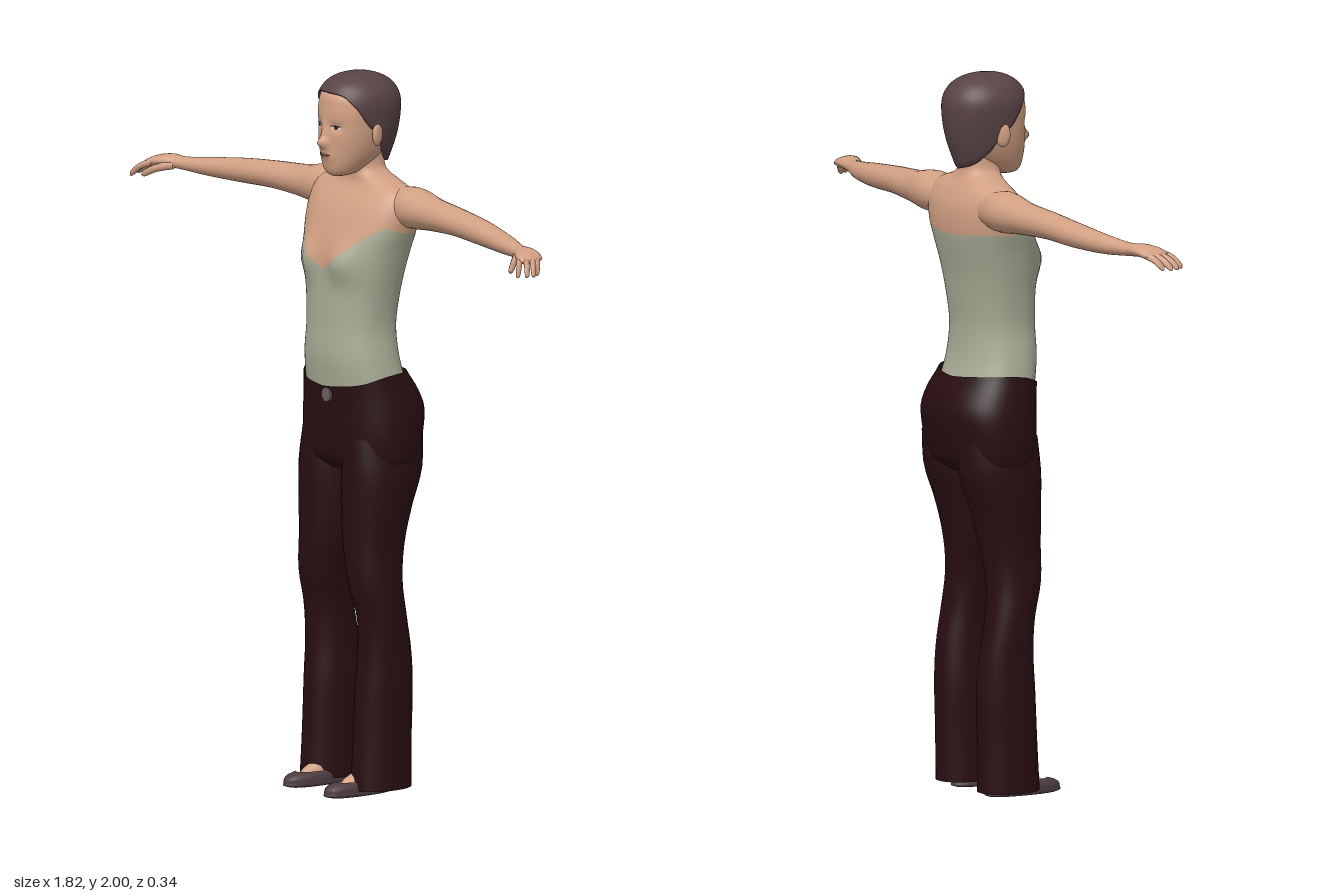
import * as THREE from 'three';

const mat = (name, color, side = THREE.FrontSide) => {
  const m = new THREE.MeshStandardMaterial({ color, side });
  m.name = name;
  return m;
};

// Smooth interpolation through rows of numbers keyed by their first entry
function sample(keys, y) {
  const n = keys.length;
  y = Math.min(Math.max(y, keys[0][0]), keys[n - 1][0]);
  let i = 0;
  while (i < n - 2 && y > keys[i + 1][0]) i++;
  const a = keys[i], b = keys[i + 1], h = b[0] - a[0], t = (y - a[0]) / h;
  const p = keys[Math.max(i - 1, 0)], q = keys[Math.min(i + 2, n - 1)];
  return a.map((_, k) => {
    const m0 = (b[k] - p[k]) / (b[0] - p[0]) * h, m1 = (q[k] - a[k]) / (q[0] - a[0]) * h;
    return a[k] * (1 + 2 * t) * (1 - t) ** 2 + b[k] * t * t * (3 - 2 * t)
      + m0 * t * (1 - t) ** 2 + m1 * t * t * (t - 1);
  });
}

// Closed-ring surface from f(angle, v), v running 0..1
function surface(f, seg, rows) {
  const pos = [], idx = [];
  for (let i = 0; i <= rows; i++) {
    for (let j = 0; j < seg; j++) {
      let a = (j / seg) * Math.PI * 2;
      if (a > Math.PI) a -= Math.PI * 2;
      pos.push(...f(a, i / rows));
    }
  }
  for (let i = 0; i < rows; i++) {
    for (let j = 0; j < seg; j++) {
      const k = (j + 1) % seg, a = i * seg + j, b = i * seg + k, c = b + seg, d = a + seg;
      idx.push(a, b, d, b, c, d);
    }
  }
  const g = new THREE.BufferGeometry();
  g.setAttribute('position', new THREE.Float32BufferAttribute(pos, 3));
  g.setIndex(idx);
  g.computeVertexNormals();
  return g;
}

// Upright form; keys: [y, half width, front z, back z, centre x]; angle 0 faces front
const power = (v, e) => Math.sign(v) * Math.abs(v) ** e;
const form = (keys, e = 1, bump = () => 0) => (a, y) => {
  const [, rx, zf, zb, cx = 0] = sample(keys, y);
  const x = cx + rx * power(Math.sin(a), e);
  const z = (zf + zb) / 2 + (zf - zb) / 2 * power(Math.cos(a), e);
  return [x, y, z + (Math.cos(a) > 0 ? Math.cos(a) * bump(x, y) : 0)];
};
const wall = (f, lo, hi, seg, rows, ease = (v) => v) => surface((a, v) => {
  const l = lo(Math.abs(a)), h = hi(Math.abs(a));
  return f(a, l + (h - l) * ease(v));
}, seg, rows);
const line = (keys) => (a) => sample(keys, a)[1];
const flat = (y) => () => y;

// Sideways form; keys: [x, y, z, half height, half depth]
const limb = (keys, seg, rows) => surface((a, v) => {
  const x0 = keys[0][0], x1 = keys[keys.length - 1][0];
  const [x, y, z, ry, rz] = sample(keys, x0 + (x1 - x0) * v);
  return [x, y + ry * Math.cos(a), z + rz * Math.sin(a)];
}, seg, rows);

function mirrored(geo) {
  const g = geo.clone().scale(-1, 1, 1), ix = g.index.array;
  for (let i = 0; i < ix.length; i += 3) [ix[i], ix[i + 1]] = [ix[i + 1], ix[i]];
  g.computeVertexNormals();
  return g;
}
const gauss = (x, y, cx, cy, sx, sy) => Math.exp(-(((x - cx) / sx) ** 2) - ((y - cy) / sy) ** 2);

export function createModel() {
  const root = new THREE.Group();
  root.name = 'standingFigure';
  const skin = mat('skin', 0xd2a083);
  const cloth = mat('top fabric', 0xabae97, THREE.DoubleSide);
  const trouser = mat('trouser fabric', 0x280d10, THREE.DoubleSide);
  const hair = mat('hair', 0x58434400 >>> 8);
  const shoe = mat('shoe leather', 0x4d3c3f);
  const metal = mat('buckle', 0x6b6062);
  const lip = mat('lips', 0xa96c5d);
  const white = mat('eye white', 0xd8cfc8);
  const dark = mat('eye dark', 0x35221f);

  const add = (name, geo, m) => {
    const mesh = new THREE.Mesh(geo, m);
    mesh.name = name;
    root.add(mesh);
  };
  const pair = (name, geo, m) => {
    add('left' + name, geo, m);
    add('right' + name, mirrored(geo), m);
  };

  // Torso: sleeveless top below the neckline, skin above it
  const bust = (x, y) => 0.026 * (gauss(x, y, 0.08, 1.485, 0.05, 0.05) + gauss(x, y, -0.08, 1.485, 0.05, 0.05));
  const torso = form([
    [1.10, 0.165, 0.098, -0.13], [1.15, 0.160, 0.106, -0.112], [1.22, 0.150, 0.114, -0.095],
    [1.30, 0.140, 0.112, -0.090], [1.38, 0.147, 0.110, -0.098], [1.46, 0.163, 0.107, -0.110],
    [1.53, 0.180, 0.100, -0.125], [1.58, 0.195, 0.085, -0.132], [1.64, 0.200, 0.058, -0.128],
    [1.68, 0.185, 0.030, -0.112], [1.70, 0.140, 0.020, -0.100], [1.72, 0.078, 0.020, -0.090],
    [1.74, 0.058, 0.025, -0.085], [1.82, 0.055, 0.030, -0.085],
  ], 0.85, bust);
  const neckline = line([[0, 1.46], [0.25, 1.49], [0.6, 1.545], [1.05, 1.59], [1.57, 1.575], [2.3, 1.575], [3.15, 1.56]]);
  add('sleevelessTop', wall(torso, flat(1.11), neckline, 64, 30), cloth);
  add('chestAndNeck', wall(torso, neckline, flat(1.82), 64, 30), skin);

  // Trousers: hips and two flared legs
  const hips = form([
    [0.90, 0.165, 0.060, -0.100], [0.93, 0.188, 0.092, -0.140], [1.00, 0.195, 0.101, -0.158],
    [1.07, 0.190, 0.104, -0.167], [1.12, 0.179, 0.107, -0.150], [1.17, 0.166, 0.113, -0.118],
    [1.20, 0.160, 0.116, -0.108],
  ], 0.85);
  const waist = line([[0, 1.135], [0.8, 1.152], [1.57, 1.175], [2.4, 1.175], [3.15, 1.165]]);
  add('trouserHips', wall(hips, flat(0.90), waist, 48, 18), trouser);
  const leg = form([
    [0.02, 0.066, 0.085, -0.092, 0.116], [0.15, 0.064, 0.078, -0.093, 0.116], [0.30, 0.066, 0.070, -0.095, 0.117],
    [0.40, 0.063, 0.063, -0.088, 0.120], [0.50, 0.064, 0.066, -0.070, 0.121], [0.60, 0.068, 0.090, -0.062, 0.112],
    [0.70, 0.078, 0.094, -0.075, 0.100], [0.80, 0.087, 0.095, -0.100, 0.098], [0.90, 0.092, 0.096, -0.135, 0.097],
    [1.00, 0.080, 0.088, -0.145, 0.096],
  ], 0.9);
  pair('TrouserLeg', wall(leg, flat(0.02), flat(1.0), 32, 32), trouser);
  const buckle = new THREE.CylinderGeometry(0.02, 0.02, 0.008, 16).rotateX(Math.PI / 2);
  add('buckle', buckle.translate(0.018, 1.113, 0.108), metal);

  // Feet in low shoes
  const foot = form([[0.02, 0.030, 0.125, -0.045, 0.093], [0.045, 0.029, 0.110, -0.048, 0.093],
    [0.07, 0.028, 0.065, -0.048, 0.095], [0.14, 0.030, 0.040, -0.045, 0.105]]);
  pair('Foot', wall(foot, flat(0.02), flat(0.14), 20, 8), skin);
  const shoeForm = form([[0, 0.001, 0.052, 0.05, 0.093], [0.003, 0.033, 0.150, -0.048, 0.093],
    [0.018, 0.039, 0.167, -0.056, 0.093], [0.034, 0.037, 0.158, -0.056, 0.093], [0.044, 0.031, 0.128, -0.053, 0.093]], 0.85);
  pair('Shoe', wall(shoeForm, flat(0), flat(0.044), 28, 12), shoe);

  // Arms, palms, fingers and thumbs
  const arm = [
    [0.12, 1.640, -0.055, 0.050, 0.055], [0.20, 1.643, -0.057, 0.057, 0.061], [0.30, 1.640, -0.053, 0.045, 0.050],
    [0.42, 1.638, -0.045, 0.038, 0.044], [0.55, 1.630, -0.035, 0.034, 0.038], [0.68, 1.622, -0.014, 0.026, 0.030],
    [0.77, 1.620, 0.010, 0.018, 0.024], [0.81, 1.623, 0.022, 0.018, 0.034], [0.845, 1.620, 0.034, 0.015, 0.040],
    [0.868, 1.613, 0.042, 0.008, 0.032], [0.872, 1.611, 0.043, 0.001, 0.002],
  ];
  pair('Arm', limb(arm, 24, 60), skin);
  const finger = (bx, by, bz, tx, ty, tz, r) => {
    const mid = (a, b, t) => a + (b - a) * t;
    return limb([
      [bx, by, bz, r, r], [mid(bx, tx, 0.6), mid(by, ty, 0.35), mid(bz, tz, 0.55), r, r],
      [mid(bx, tx, 0.94), mid(by, ty, 0.88), mid(bz, tz, 0.93), r * 0.8, r * 0.75], [tx, ty, tz, 0.0005, 0.0005],
    ], 10, 12);
  };
  for (let i = 0; i < 4; i++) {
    const reach = [0.896, 0.908, 0.905, 0.888][i];
    pair('Finger' + (i + 1), finger(0.84, 1.618, 0.006 + i * 0.019, reach, 1.578, 0.045 + i * 0.02, 0.0095), skin);
  }
  pair('Thumb', finger(0.78, 1.615, 0.03, 0.845, 1.585, 0.098, 0.011), skin);

  // Head with nose, brow hollows and chin shaped into the face
  const headKeys = [
    [1.715, 0.010, 0.070, 0.030], [1.722, 0.034, 0.084, 0.010], [1.74, 0.052, 0.094, -0.030],
    [1.77, 0.069, 0.099, -0.070], [1.81, 0.083, 0.102, -0.105], [1.86, 0.092, 0.102, -0.122],
    [1.91, 0.094, 0.100, -0.124], [1.95, 0.082, 0.088, -0.110], [1.98, 0.045, 0.040, -0.070], [1.99, 0.004, 0, -0.02],
  ];
  const features = (x, y) => 0.022 * gauss(x, y, 0, 1.812, 0.014, 0.016) + 0.010 * gauss(x, y, 0, 1.84, 0.011, 0.028)
    + 0.006 * gauss(x, y, 0, 1.779, 0.024, 0.014) - 0.008 * gauss(Math.abs(x), y, 0.037, 1.858, 0.018, 0.013);
  const head = form(headKeys, 0.92, features);
  add('head', wall(head, flat(1.715), flat(1.99), 80, 60), skin);
  const ear = new THREE.SphereGeometry(1, 14, 10).scale(0.010, 0.034, 0.021);
  pair('Ear', ear.rotateY(0.35).translate(0.094, 1.838, -0.008), skin);

  // Thin patches laid on the face
  const patch = (x, y, w, h, lift) => {
    const g = new THREE.CircleGeometry(1, 20).scale(w, h, 1).translate(x, y, 0), p = g.attributes.position;
    for (let i = 0; i < p.count; i++) {
      const rx = sample(headKeys, p.getY(i))[1];
      const a = Math.asin(power(p.getX(i) / rx, 1 / 0.92));
      p.setZ(i, head(a, p.getY(i))[2] + lift);
    }
    g.computeVertexNormals();
    return g;
  };
  pair('EyeWhite', patch(0.037, 1.857, 0.014, 0.005, 0.002), white);
  pair('Iris', patch(0.037, 1.857, 0.006, 0.005, 0.0035), dark);
  pair('Lashes', patch(0.037, 1.862, 0.016, 0.002, 0.003), dark);
  add('lips', patch(0, 1.779, 0.024, 0.007, 0.002), lip);
  add('mouthLine', patch(0, 1.779, 0.022, 0.0012, 0.003), dark);

  // Short hair, low at the nape and high over the brow
  const hairForm = form([
    [1.72, 0.056, 0.080, -0.088], [1.76, 0.076, 0.098, -0.103], [1.82, 0.093, 0.107, -0.123],
    [1.88, 0.102, 0.108, -0.133], [1.93, 0.103, 0.104, -0.131], [1.965, 0.086, 0.086, -0.112],
    [1.985, 0.062, 0.060, -0.083], [1.996, 0.032, 0.028, -0.048], [2.0, 0.001, -0.009, -0.011],
  ], 0.95);
  const hairline = line([[0, 1.952], [0.6, 1.945], [0.95, 1.915], [1.3, 1.865], [1.6, 1.835], [1.9, 1.79], [2.4, 1.755], [3.15, 1.738]]);
  const hairGeo = surface((a, v) => {
    const low = hairline(Math.abs(a)), t = Math.max(0, (v - 0.04) / 0.96);
    const p = hairForm(a, low + (2 - low) * Math.sin(t * Math.PI / 2));
    return v === 0 ? [p[0] * 0.86, p[1], p[2] * 0.86] : p;
  }, 56, 25);
  add('hair', hairGeo, hair);

  return root;
}
